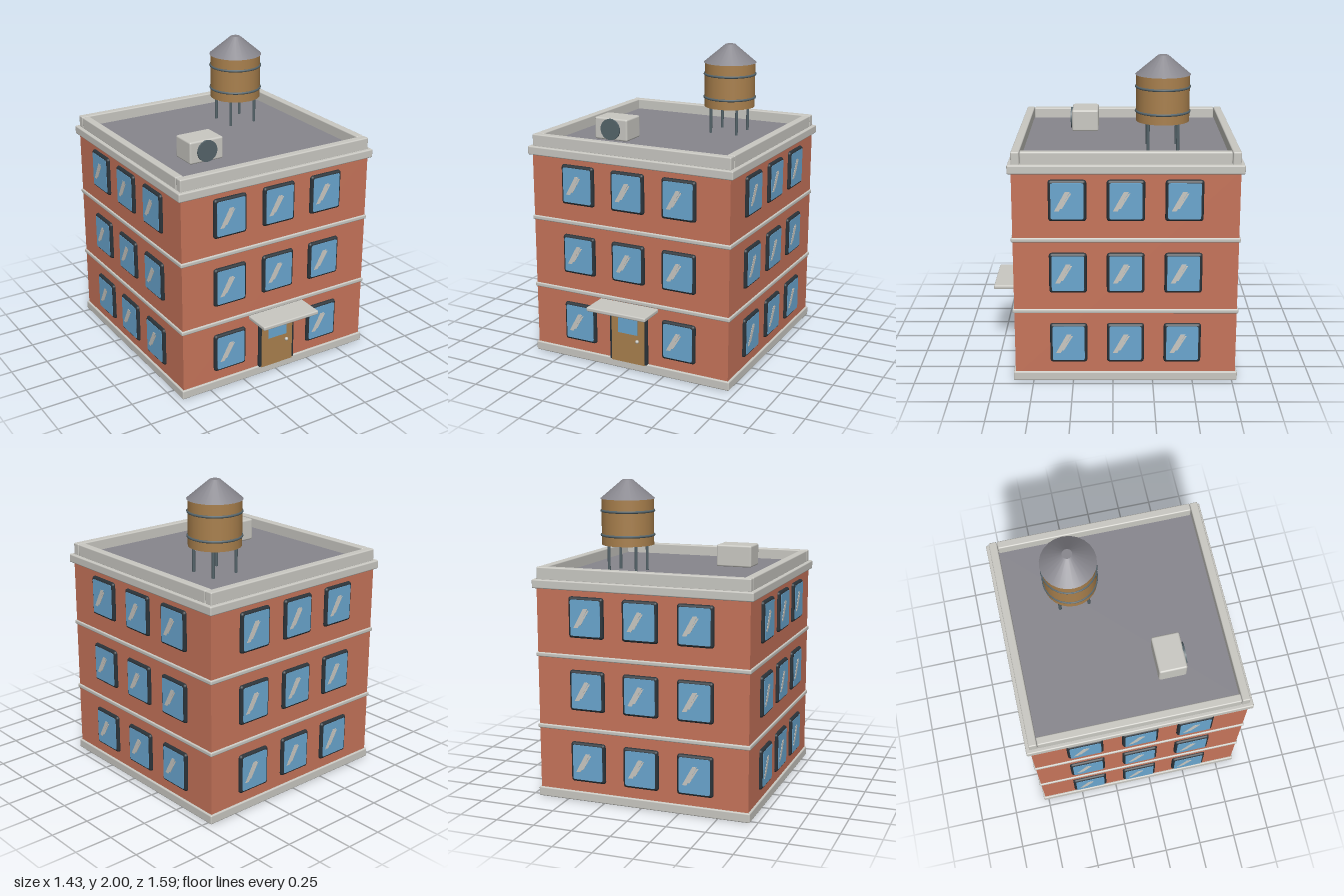
import * as THREE from 'three';
import { RoundedBoxGeometry } from 'three/addons/geometries/RoundedBoxGeometry.js';

const paint = (name, color, side = THREE.FrontSide) => {
  const m = new THREE.MeshStandardMaterial({ color, side });
  m.name = name;
  return m;
};

export function createModel() {
  const brick = paint('brick', 0xc6745a);
  const stone = paint('pale stone', 0xc9c8c2);
  const glass = paint('window glass', 0x6aa6cf);
  const trim = paint('dark trim', 0x2a3238);
  const wood = paint('wood', 0xa9804d);
  const steel = paint('steel', 0x55646a);
  const slate = paint('grey roofing', 0x87868d);

  const model = new THREE.Group();
  model.name = 'apartmentBuilding';
  const building = new THREE.Group();
  building.name = 'building';
  building.position.z = -0.078;
  model.add(building);

  const add = (parent, name, geometry, material, x = 0, y = 0, z = 0) => {
    const mesh = new THREE.Mesh(geometry, material);
    mesh.name = name;
    mesh.position.set(x, y, z);
    parent.add(mesh);
    return mesh;
  };
  const box = (w, h, d) => new THREE.BoxGeometry(w, h, d);
  const soft = (w, h, d, r = 0.008) => new RoundedBoxGeometry(w, h, d, 2, r);
  const polygon = (points) => new THREE.Shape(points.map(([x, y]) => new THREE.Vector2(x, y)));

  // Walls and the stone courses that wrap around them
  const W = 0.692;
  add(building, 'walls', box(2 * W, 1.34, 2 * W), brick, 0, 0.7, 0);
  const course = (name, half, low, high) =>
    add(building, name, soft(2 * half, high - low, 2 * half), stone, 0, (low + high) / 2, 0);
  course('plinth', 0.705, 0, 0.06);
  course('lowerBelt', 0.702, 0.453, 0.481);
  course('upperBelt', 0.702, 0.917, 0.945);
  course('cornice', 0.715, 1.35, 1.406);

  // Flat roof and parapet
  add(building, 'roof', box(1.3, 0.02, 1.3), slate, 0, 1.402, 0);
  for (const s of [-1, 1]) {
    add(building, 'parapet', soft(2 * W, 0.082, 0.052), stone, 0, 1.441, s * (W - 0.026));
    add(building, 'sideParapet', soft(0.052, 0.082, 1.276), stone, s * (W - 0.026), 1.441, 0);
  }

  // Window parts, shared by all windows
  const frameGeo = soft(0.233, 0.259, 0.04, 0.018);
  const w = 0.1, h = 0.113, r = 0.012;
  const pane = new THREE.Shape();
  pane.moveTo(-w + r, -h);
  pane.lineTo(w - r, -h).quadraticCurveTo(w, -h, w, -h + r);
  pane.lineTo(w, h - r).quadraticCurveTo(w, h, w - r, h);
  pane.lineTo(-w + r, h).quadraticCurveTo(-w, h, -w, h - r);
  pane.lineTo(-w, -h + r).quadraticCurveTo(-w, -h, -w + r, -h);
  const paneGeo = new THREE.ExtrudeGeometry(pane, { depth: 0.004, bevelEnabled: false, curveSegments: 3 });
  const glareGeo = new THREE.ExtrudeGeometry([
    polygon([[-0.079, -0.063], [-0.05, -0.063], [0.018, 0.06], [-0.012, 0.06]]),
    polygon([[-0.042, -0.046], [-0.03, -0.046], [0.027, 0.05], [0.015, 0.05]]),
  ], { depth: 0.002, bevelEnabled: false });

  // Three floors of three windows on each side; the door takes one place
  ['front', 'left', 'back', 'right'].forEach((sideName, i) => {
    const side = new THREE.Group();
    side.name = sideName + 'Windows';
    side.rotation.y = i * Math.PI / 2;
    building.add(side);
    for (let floor = 0; floor < 3; floor++) {
      for (let col = -1; col <= 1; col++) {
        if (i === 0 && floor === 0 && col === 0) continue;
        const win = new THREE.Group();
        win.name = 'window';
        win.position.set(col * 0.355, 0.257 + floor * 0.463, W);
        side.add(win);
        add(win, 'windowFrame', frameGeo, trim);
        add(win, 'windowPane', paneGeo, glass, 0, 0, 0.018);
        add(win, 'windowGlare', glareGeo, stone, 0, 0, 0.0215);
      }
    }
  });

  // Entrance
  const door = new THREE.Group();
  door.name = 'entrance';
  door.position.z = W;
  building.add(door);
  add(door, 'doorFrame', soft(0.274, 0.37, 0.03), trim, 0, 0.235, 0);
  add(door, 'door', box(0.236, 0.355, 0.02), wood, 0, 0.2275, 0.01);
  add(door, 'doorPane', box(0.14, 0.107, 0.006), glass, 0, 0.304, 0.02);
  add(door, 'doorKnob', new THREE.SphereGeometry(0.012, 12, 8), stone, 0.07, 0.21, 0.026);
  add(door, 'canopy', soft(0.418, 0.027, 0.19), stone, 0, 0.437, 0.084);

  // Rooftop air unit
  const unit = new THREE.Group();
  unit.name = 'airUnit';
  unit.position.set(-0.31, 1.483, 0.188);
  model.add(unit);
  add(unit, 'airUnitCase', soft(0.24, 0.145, 0.178, 0.012), stone);
  add(unit, 'airUnitFan', new THREE.CylinderGeometry(0.07, 0.07, 0.02, 24), steel, 0, 0, 0.09)
    .rotation.x = Math.PI / 2;

  // Water tank on four legs
  const tank = new THREE.Group();
  tank.name = 'waterTank';
  tank.position.set(0.268, 0, -0.312);
  model.add(tank);
  for (const x of [-0.093, 0.093]) for (const z of [-0.093, 0.093])
    add(tank, 'tankLeg', new THREE.CylinderGeometry(0.01, 0.01, 0.19, 8), steel, x, 1.5, z);
  add(tank, 'tankBarrel', new THREE.CylinderGeometry(0.168, 0.168, 0.293, 24), wood, 0, 1.734, 0);
  for (const y of [1.65, 1.804])
    add(tank, 'tankHoop', new THREE.TorusGeometry(0.168, 0.008, 8, 24), steel, 0, y, 0)
      .rotation.x = Math.PI / 2;
  add(tank, 'tankRoof', new THREE.CylinderGeometry(0.032, 0.175, 0.12, 24), slate, 0, 1.94, 0);

  return model;
}
